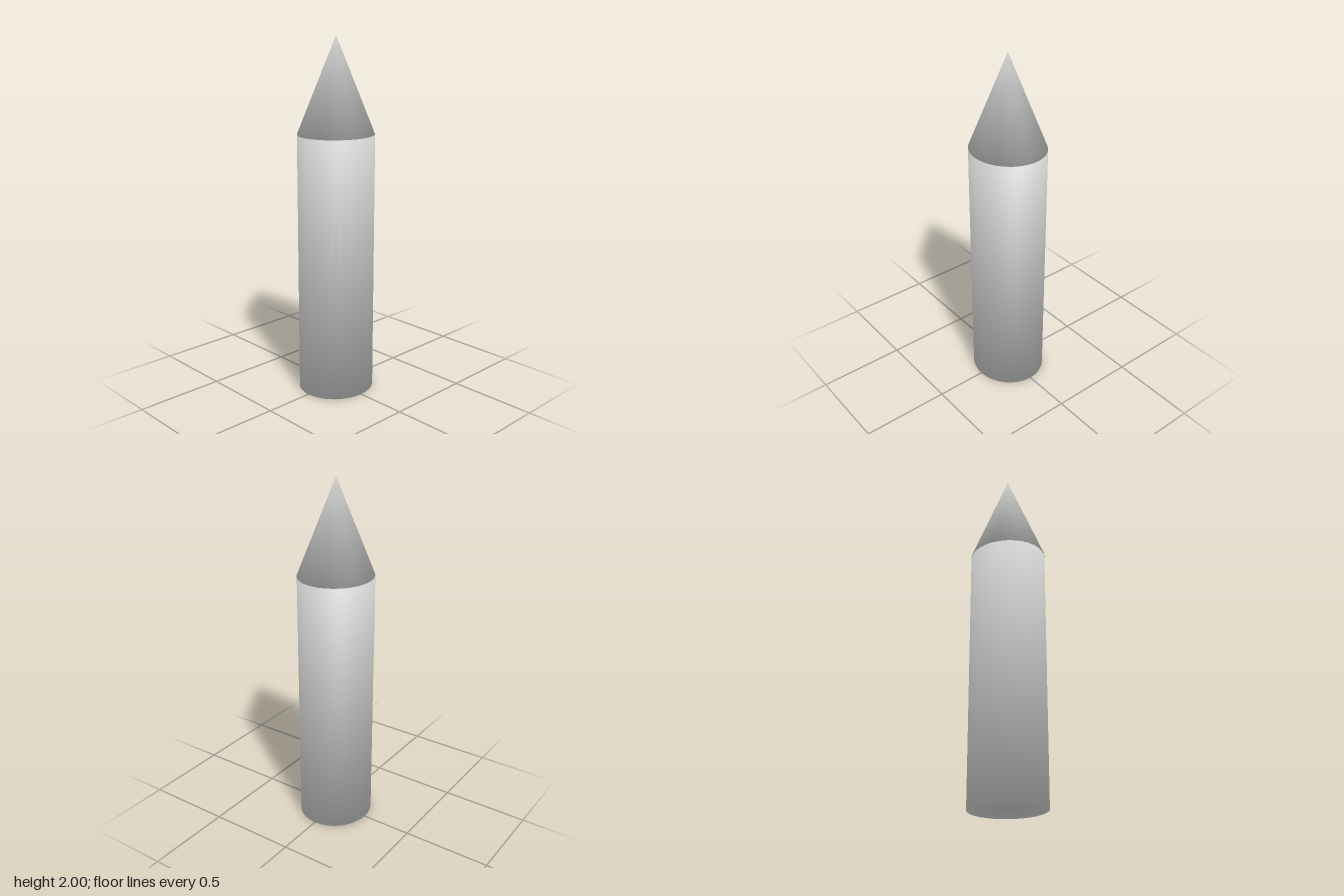
import * as THREE from 'three';

const RX = 0.219, RZ = 0.207, SIDES = 32;

// Elliptical drum or cone whose shading is blended softly around its rims
function softSolid(name, topScale, y0, y1) {
  const h = y1 - y0;
  const g = new THREE.CylinderGeometry(topScale, 1, h, SIDES, 1);
  g.scale(RX, 1, RZ);
  g.translate(0, (y0 + y1) / 2, 0);

  const pos = g.attributes.position, nor = g.attributes.normal;
  const slope = RX * (1 - topScale) / h;
  const n = new THREE.Vector3();
  for (let i = 0; i < pos.count; i++) {
    const x = pos.getX(i), y = pos.getY(i), z = pos.getZ(i);
    const up = y > (y0 + y1) / 2 ? 1 : -1;
    if (Math.hypot(x, z) < 1e-6) {
      n.set(0, up, 0); // cap centre or tip
    } else {
      // average of the wall normal and the cap normal
      n.set(x / RX ** 2, 0, z / RZ ** 2).normalize();
      n.y = slope;
      n.normalize();
      n.y += up;
      n.normalize();
    }
    nor.setXYZ(i, n.x, n.y, n.z);
  }
  const mesh = new THREE.Mesh(g, new THREE.MeshStandardMaterial({ color: 0xcccccc }));
  mesh.name = name;
  return mesh;
}

export function createModel() {
  const model = new THREE.Group();
  model.name = 'pointedColumn';
  // Tall body and a separate pointed tip, with a hairline gap between
  model.add(softSolid('body', 1, 0, 1.462));
  model.add(softSolid('tip', 0, 1.472, 2));
  return model;
}
